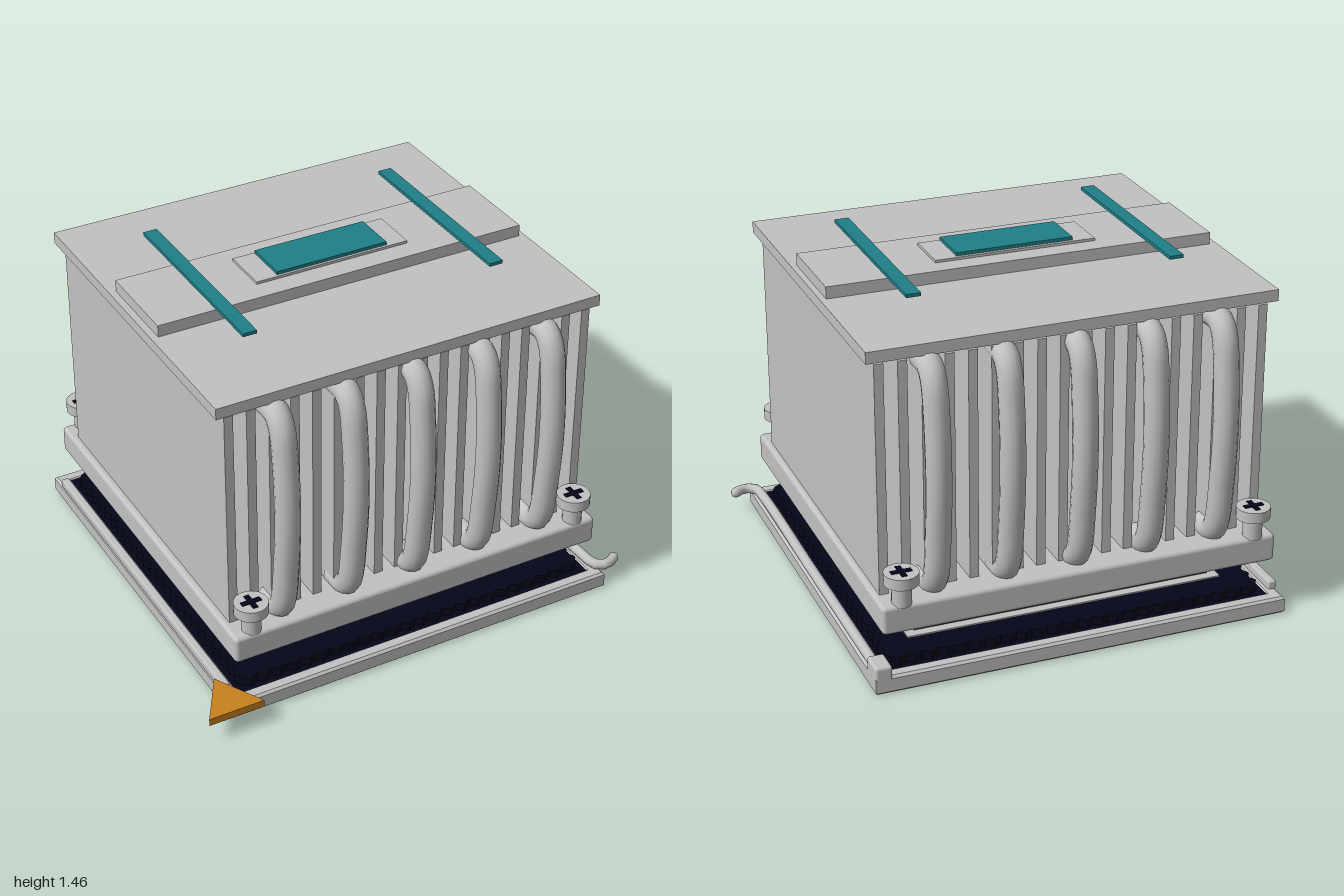
import * as THREE from 'three';
import { RoundedBoxGeometry } from 'three/addons/geometries/RoundedBoxGeometry.js';

const mat = (name, color) => {
  const m = new THREE.MeshStandardMaterial({ color });
  m.name = name;
  return m;
};

export function createModel() {
  const root = new THREE.Group();
  const metal = mat('light metal', 0xc2c2c2);
  const lidGrey = mat('lid grey', 0x8a8b90);
  const dark = mat('contact black', 0x05051a);
  const green = mat('board green', 0x10402a);
  const teal = mat('teal trim', 0x1f8087);
  const gold = mat('marker gold', 0xc98220);
  const CX = 0.02, CZ = -0.04; // shared centre of the stacked parts

  const add = (name, geo, material, parent = root) => {
    const m = new THREE.Mesh(geo, material);
    m.name = name;
    parent.add(m);
    return m;
  };
  // box from its limits on each axis, rounded if r is given
  const box = (name, material, x0, x1, y0, y1, z0, z1, r = 0, parent = root) => {
    const s = [x1 - x0, y1 - y0, z1 - z0];
    const geo = r ? new RoundedBoxGeometry(...s, 2, r) : new THREE.BoxGeometry(...s);
    const m = add(name, geo, material, parent);
    m.position.set((x0 + x1) / 2, (y0 + y1) / 2, (z0 + z1) / 2);
    return m;
  };
  // outline in x and z, raised from y0 to y1
  const slab = (name, material, shape, y0, y1, bevel = 0) => {
    const geo = new THREE.ExtrudeGeometry(shape, {
      depth: y1 - y0 - 2 * bevel, bevelEnabled: bevel > 0, bevelSize: bevel,
      bevelThickness: bevel, bevelOffset: -bevel, bevelSegments: 1, curveSegments: 4,
    });
    geo.rotateX(-Math.PI / 2);
    geo.translate(0, y0 + bevel, 0);
    return add(name, geo, material);
  };
  const outline = (pts) => new THREE.Shape(pts.map(([x, z]) => new THREE.Vector2(x, -z)));
  const rect = (x0, x1, z0, z1) => [[x0, z0], [x0, z1], [x1, z1], [x1, z0]];

  // socket frame with an open middle
  const frame = outline(rect(-0.86, 0.9, -0.92, 0.84));
  frame.holes.push(outline(rect(-0.8, 0.84, -0.86, 0.78)));
  slab('socketFrame', metal, frame, 0, 0.075, 0.01);
  box('socketFloor', dark, -0.81, 0.85, 0.006, 0.07, -0.87, 0.79);

  // contact field with toothed edges
  const teeth = 48, half = 0.79, pts = [];
  for (let side = 0; side < 4; side++) {
    const a = side * Math.PI / 2, c = Math.cos(a), s = Math.sin(a);
    for (let i = 0; i < teeth; i++) {
      const u = -half + (i / teeth) * 2 * half;
      const v = half + (i % 2 ? 0.018 : 0);
      pts.push([CX + u * c + v * s, CZ - u * s + v * c]);
    }
  }
  slab('contactField', dark, outline(pts), 0.07, 0.107);

  // side rail, lever and its catch
  box('sideRail', metal, -0.86, -0.825, 0.07, 0.11, -0.84, 0.75, 0.008);
  box('leverCatch', metal, 0.83, 0.9, 0.04, 0.12, -0.92, -0.81, 0.012);
  const lever = new THREE.CatmullRomCurve3([
    [0.875, -0.82], [0.875, 0], [0.875, 0.7], [0.885, 0.785], [0.93, 0.81], [0.98, 0.785],
  ].map(([x, z]) => new THREE.Vector3(x, 0.092, z)), false, 'centripetal');
  add('lever', new THREE.TubeGeometry(lever, 48, 0.022, 10), metal);
  const tip = add('leverTip', new THREE.SphereGeometry(0.022, 12, 8), metal);
  tip.position.set(0.978, 0.092, 0.786);

  // processor: seat, board, edge parts, lid and pressure plates
  box('boardSeat', metal, -0.66, 0.7, 0.1, 0.113, -0.72, 0.64);
  box('board', green, -0.62, 0.66, 0.112, 0.148, -0.68, 0.6);
  for (let i = -4; i <= 4; i++) {
    for (const s of [-1, 1]) {
      const x = CX + i * 0.149, z = CZ + i * 0.149;
      const ex = CX + s * 0.6, ez = CZ + s * 0.6;
      box('edgePart', dark, x - 0.025, x + 0.025, 0.147, 0.157, ez - 0.015, ez + 0.015);
      box('edgePart', dark, ex - 0.015, ex + 0.015, 0.147, 0.157, z - 0.025, z + 0.025);
    }
  }
  box('processorLid', lidGrey, -0.54, 0.58, 0.147, 0.186, -0.6, 0.52);
  box('pressurePlate', metal, -0.73, 0.765, 0.186, 0.207, -0.76, 0.68);
  box('contactPlate', metal, -0.475, 0.51, 0.207, 0.236, -0.53, 0.45);

  // corner markers
  slab('socketMarker', gold, outline([[-0.875, 0.71], [-1, 0.92], [-0.76, 0.92]]), 0.088, 0.12);
  slab('boardMarker', gold, outline([[-0.56, 0.45], [-0.635, 0.58], [-0.485, 0.58]]), 0.147, 0.167);

  // cooler base and fins
  box('coolerBase', metal, -0.82, 0.855, 0.234, 0.355, -0.885, 0.8, 0.018);
  const fins = new THREE.Group();
  fins.name = 'fins';
  root.add(fins);
  for (let i = 0; i < 18; i++) {
    const x = -0.772 + i * 0.0931;
    box('fin', metal, x - 0.019, x + 0.019, 0.35, 1.32, -0.775, 0.69, 0, fins);
  }

  // bowed heat pipes, front and back
  const bow = [[0.66, 0.37], [0.74, 0.375], [0.782, 0.42], [0.815, 0.62], [0.83, 0.85],
    [0.818, 1.08], [0.79, 1.24], [0.75, 1.288], [0.66, 1.29]];
  for (let i = -2; i <= 2; i++) {
    for (const s of [-1, 1]) {
      const path = new THREE.CatmullRomCurve3(
        bow.map(([d, y]) => new THREE.Vector3(0.017 + i * 0.299, y, CZ + s * d)), false, 'centripetal');
      add('heatPipe', new THREE.TubeGeometry(path, 40, 0.051, 14), metal);
    }
  }

  // top cover, raised bar and badge plate
  box('topCover', metal, -0.83, 0.865, 1.332, 1.38, -0.79, 0.705);
  box('topBar', metal, -0.8, 0.84, 1.38, 1.43, -0.238, 0.152);
  box('topPanel', metal, -0.325, 0.36, 1.43, 1.441, -0.152, 0.058);
  box('centreTrim', teal, -0.23, 0.268, 1.443, 1.457, -0.143, 0.05);
  for (const x of [-0.53, 0.57]) {
    box('stripTrim', teal, x - 0.03, x + 0.03, 1.443, 1.457, -0.49, 0.4);
  }

  // corner screws with cross slots
  for (const x of [-0.73, 0.766]) {
    for (const z of [-0.853, 0.76]) {
      const screw = new THREE.Group();
      screw.name = 'screw';
      screw.position.set(x, 0, z);
      root.add(screw);
      add('screwShaft', new THREE.CylinderGeometry(0.04, 0.04, 0.1, 20), metal, screw).position.y = 0.395;
      add('screwHead', new THREE.CylinderGeometry(0.07, 0.07, 0.047, 28), metal, screw).position.y = 0.461;
      box('screwSlot', dark, -0.042, 0.042, 0.482, 0.489, -0.011, 0.011, 0, screw);
      box('screwSlot', dark, -0.011, 0.011, 0.482, 0.4885, -0.042, 0.042, 0, screw);
    }
  }
  return root;
}
